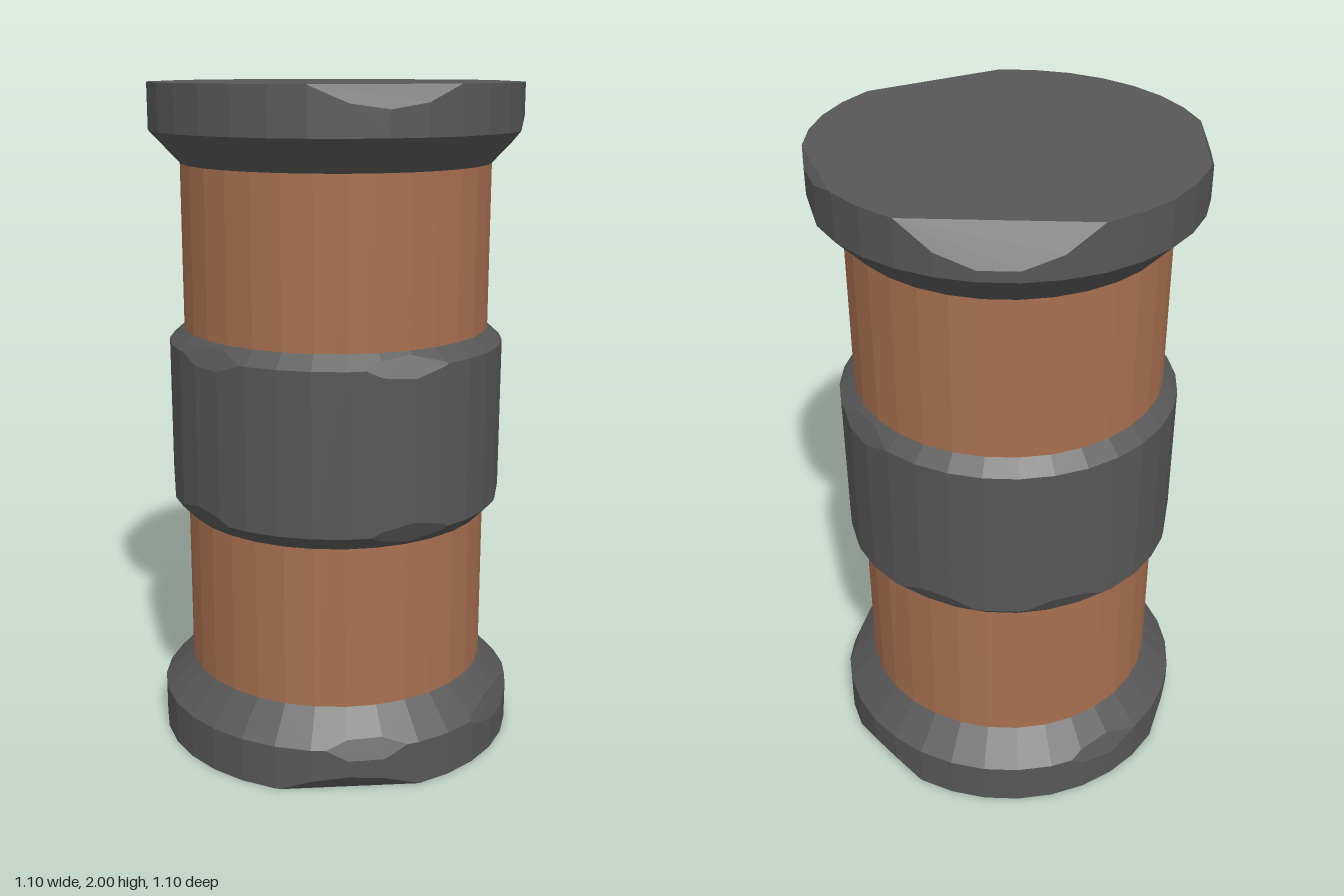
import * as THREE from 'three';
import { ConvexGeometry } from 'three/addons/geometries/ConvexGeometry.js';

const SIDES = 32;

// A chip is a cutting plane: [angle from +z towards +x, r1, y1, r2, y2]
function chipPlane([deg, r1, y1, r2, y2]) {
  const a = THREE.MathUtils.degToRad(deg);
  let nr = y2 - y1, ny = r1 - r2;
  if (nr < 0) { nr = -nr; ny = -ny; }
  const n = new THREE.Vector3(Math.sin(a) * nr, ny, Math.cos(a) * nr).normalize();
  return new THREE.Plane().setFromNormalAndCoplanarPoint(
    n, new THREE.Vector3(Math.sin(a) * r1, y1, Math.cos(a) * r1));
}

// Convex turned solid from [radius, y] rings, with its rims cut by chips
function chippedDrum(profile, chips) {
  const planes = chips.map(chipPlane);
  const at = (j, i) => {
    const a = (i % SIDES) / SIDES * Math.PI * 2;
    return new THREE.Vector3(Math.sin(a) * profile[j][0], profile[j][1], Math.cos(a) * profile[j][0]);
  };
  const points = [];
  const keep = (p) => {
    if (planes.every((pl) => pl.distanceToPoint(p) < 1e-6)) points.push(p);
  };
  const cutEdge = (p, q) => {
    for (const pl of planes) {
      const dp = pl.distanceToPoint(p), dq = pl.distanceToPoint(q);
      if (dp * dq < 0) keep(p.clone().lerp(q, dp / (dp - dq)));
    }
  };
  for (let j = 0; j < profile.length; j++) {
    for (let i = 0; i < SIDES; i++) {
      keep(at(j, i));
      cutEdge(at(j, i), at(j, i + 1));
      if (j + 1 < profile.length) cutEdge(at(j, i), at(j + 1, i));
    }
  }
  return new ConvexGeometry(points);
}

export function createModel() {
  const group = new THREE.Group();
  const stone = new THREE.MeshStandardMaterial({ name: 'dark stone', color: 0x575757, flatShading: true });
  const wood = new THREE.MeshStandardMaterial({ name: 'brown wood', color: 0xa87050, flatShading: true });
  const add = (name, geometry, material) => {
    const mesh = new THREE.Mesh(geometry, material);
    mesh.name = name;
    group.add(mesh);
    return mesh;
  };

  // Wooden core
  add('woodCore', new THREE.CylinderGeometry(0.46, 0.46, 1.6, SIDES), wood).position.y = 1;

  // Top cap: chips on the upper rim, then on the lower ridge
  add('topCap', chippedDrum([[0.46, 1.77], [0.55, 1.865], [0.55, 2]], [
    [11, 0.508, 2, 0.545, 1.945],
    [163, 0.486, 2, 0.545, 1.9],
    [254, 0.528, 2, 0.545, 1.965],
    [95.5, 0.528, 2, 0.546, 1.98],
    [85, 0.545, 1.9, 0.515, 1.835],
  ]), stone);

  // Middle band: chips on both bevels
  const bandUpper = [-50, 20, 108].map((a) => [a, 0.5, 1.222, 0.478, 1.262]);
  const bandLower = [-55, 22, 85, 140, 185].map((a) => [a, 0.5, 0.788, 0.478, 0.745]);
  add('middleBand', chippedDrum(
    [[0.46, 0.72], [0.505, 0.765], [0.505, 1.245], [0.46, 1.285]],
    [...bandUpper, ...bandLower, [259, 0.5, 0.86, 0.47, 0.745]]), stone);

  // Bottom cap: chips on the ridge, then on the lower rim
  const ridge = [6, 57, 69, 200].map((a) => [a, 0.546, 0.105, 0.524, 0.16]);
  add('bottomCap', chippedDrum([[0.55, 0], [0.55, 0.135], [0.46, 0.23]], [
    ...ridge,
    [1, 0.51, 0, 0.545, 0.045],
    [117, 0.525, 0, 0.545, 0.035],
    [240, 0.532, 0, 0.545, 0.06],
  ]), stone);

  return group;
}
